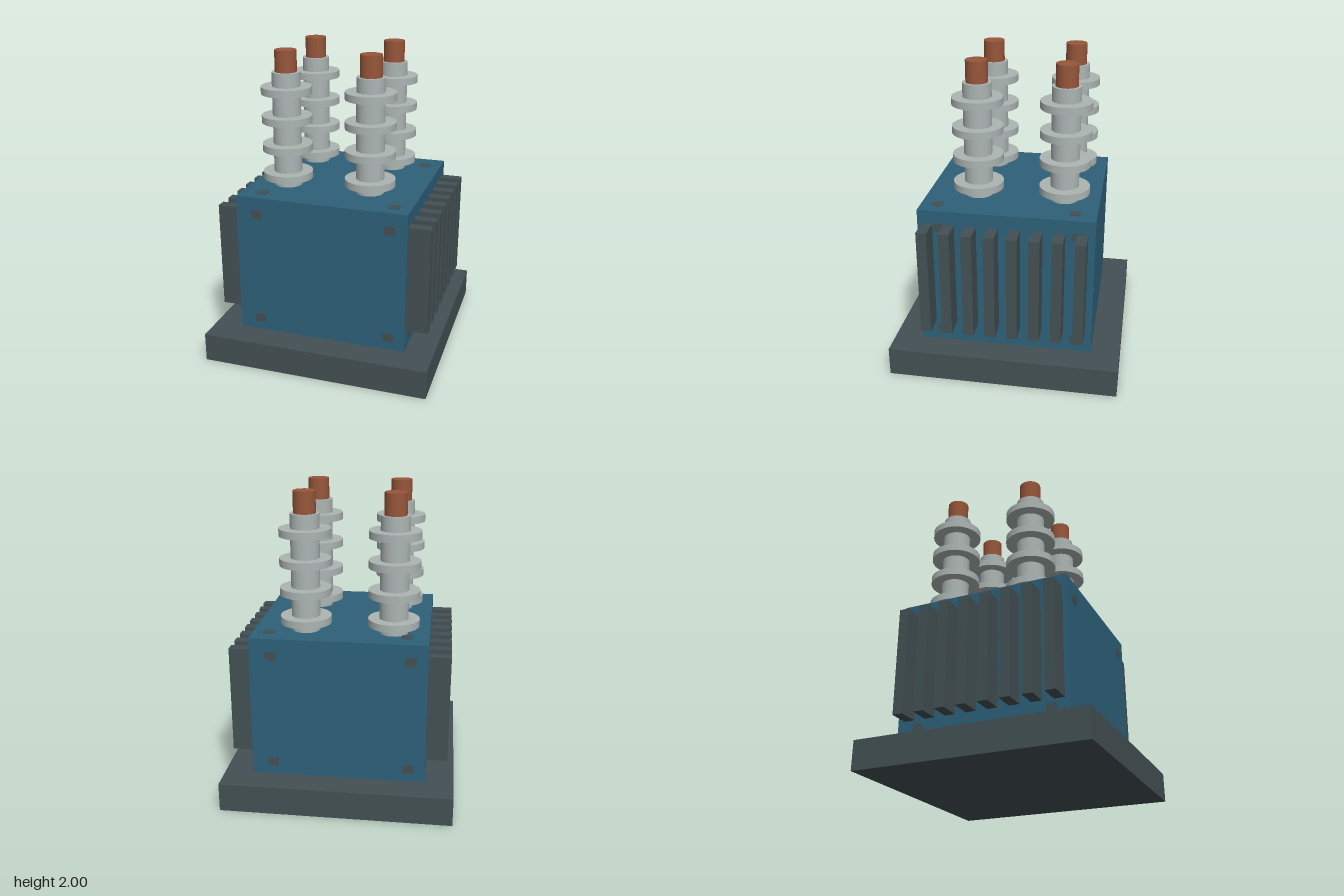
import * as THREE from 'three';

const material = (name, color) => {
  const m = new THREE.MeshStandardMaterial({ color });
  m.name = name;
  return m;
};

export function createModel() {
  const model = new THREE.Group();
  model.name = 'transformer';
  const steel = material('dark steel', 0x435053);
  const paint = material('blue paint', 0x2d6079);
  const ceramic = material('grey ceramic', 0xacb5b3);
  const copper = material('copper', 0x97563a);

  const add = (parent, name, geometry, mat, x, y, z) => {
    const mesh = new THREE.Mesh(geometry, mat);
    mesh.name = name;
    mesh.position.set(x, y, z);
    parent.add(mesh);
    return mesh;
  };

  // Base slab and tank
  add(model, 'base', new THREE.BoxGeometry(1.486, 0.188, 1.486), steel, 0, 0.094, 0);
  add(model, 'tank', new THREE.BoxGeometry(1.116, 0.93, 1.116), paint, 0, 0.653, 0);

  // Cooling fins on both sides
  const finGeometry = new THREE.BoxGeometry(0.14, 0.7, 0.067);
  for (const side of [-1, 1]) {
    for (let i = 0; i < 8; i++) {
      add(model, 'coolingFin', finGeometry, steel, side * 0.627, 0.678, -0.48 + i * 0.1395);
    }
  }

  // Bolt heads: rounded square plates at the corners of each face
  const h = 0.035, c = 0.021;
  const outline = new THREE.Shape();
  outline.moveTo(-h + c, -h);
  outline.lineTo(h - c, -h);
  outline.quadraticCurveTo(h, -h, h, -h + c);
  outline.lineTo(h, h - c);
  outline.quadraticCurveTo(h, h, h - c, h);
  outline.lineTo(-h + c, h);
  outline.quadraticCurveTo(-h, h, -h, h - c);
  outline.lineTo(-h, -h + c);
  outline.quadraticCurveTo(-h, -h, -h + c, -h);
  const boltGeometry = new THREE.ExtrudeGeometry(outline, { depth: 0.006, bevelEnabled: false, curveSegments: 4 });
  for (let face = 0; face < 4; face++) {
    const bolts = new THREE.Group();
    bolts.name = 'sideBolts';
    bolts.rotation.y = face * Math.PI / 2;
    for (const x of [-0.42, 0.45]) {
      for (const y of [0.275, 1.005]) {
        add(bolts, 'bolt', boltGeometry, steel, x, y, 0.556).scale.y = 0.88;
      }
    }
    model.add(bolts);
  }
  for (const x of [-0.42, 0.45]) {
    for (const z of [-0.42, 0.45]) {
      add(model, 'topBolt', boltGeometry, steel, x, 1.116, z).rotation.x = -Math.PI / 2;
    }
  }

  // Four bushings: ceramic column with sheds and a copper terminal
  const columnGeometry = new THREE.CylinderGeometry(0.091, 0.091, 0.746, 32);
  const shedGeometry = new THREE.CylinderGeometry(0.162, 0.162, 0.047, 40);
  const terminalGeometry = new THREE.CylinderGeometry(0.07, 0.07, 0.16, 28);
  for (const x of [-0.328, 0.23]) {
    for (const z of [-0.328, 0.23]) {
      const bushing = new THREE.Group();
      bushing.name = 'bushing';
      bushing.position.set(x, 0, z);
      add(bushing, 'column', columnGeometry, ceramic, 0, 1.489, 0);
      for (let i = 0; i < 4; i++) {
        add(bushing, 'shed', shedGeometry, ceramic, 0, 1.189 + i * 0.186, 0);
      }
      add(bushing, 'terminal', terminalGeometry, copper, 0, 1.92, 0);
      model.add(bushing);
    }
  }
  return model;
}
